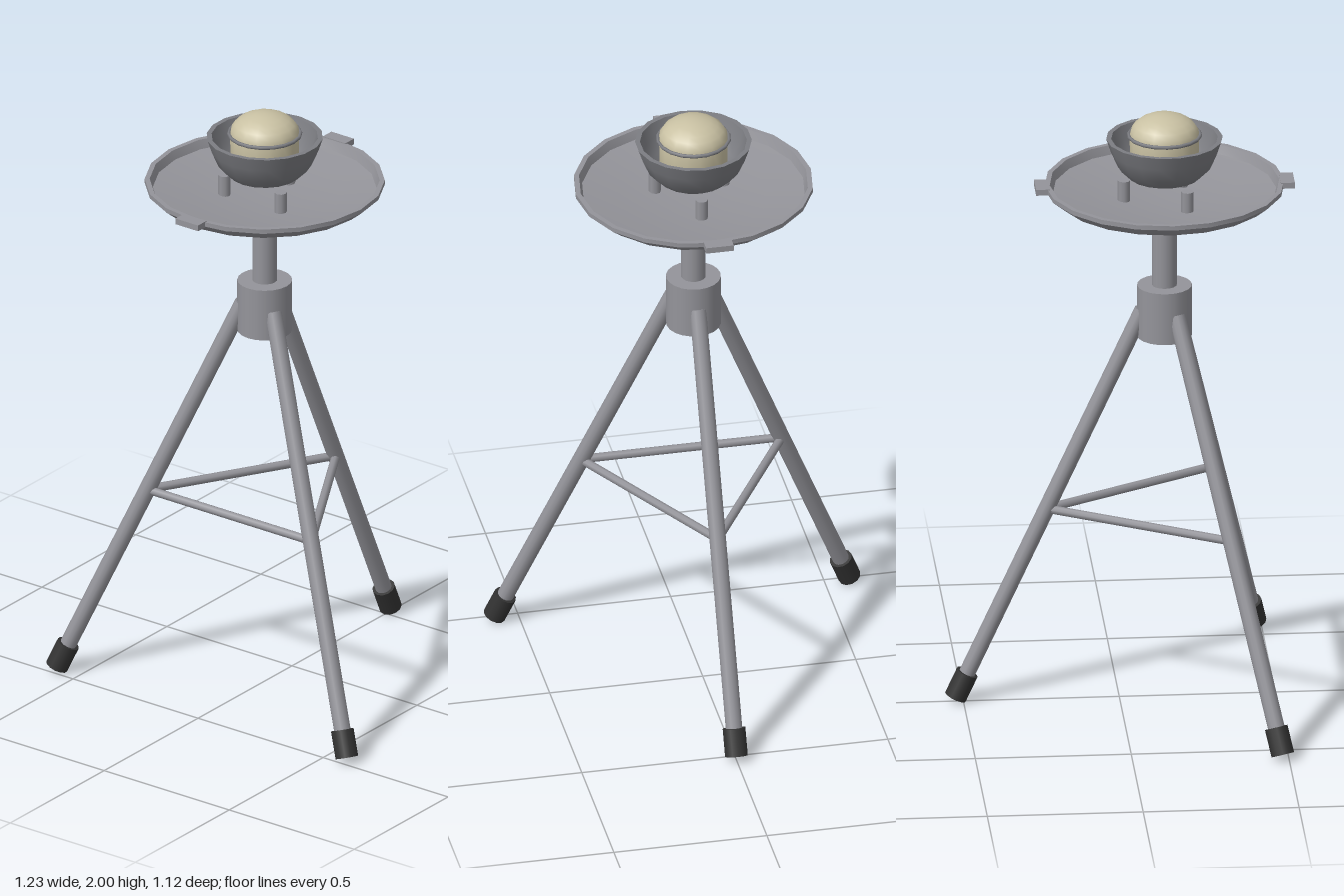
import * as THREE from 'three';
import { toCreasedNormals } from 'three/addons/utils/BufferGeometryUtils.js';

const mat = (color) => new THREE.MeshStandardMaterial({ color });
const steel = mat(0x94949a);
const darkSteel = mat(0x7c7d82);
const rubber = mat(0x333333);
const cream = mat(0xc9c1a3);

function add(parent, name, geometry, material) {
  const mesh = new THREE.Mesh(geometry, material);
  mesh.name = name;
  parent.add(mesh);
  return mesh;
}

// Solid of revolution; profile runs from the bottom centre, outwards and up
function turned(parent, name, profile, sides, material) {
  const points = profile.map(([r, y]) => new THREE.Vector2(r, y));
  return add(parent, name, toCreasedNormals(new THREE.LatheGeometry(points, sides), 0.6), material);
}

// Round bar between two points
function rod(parent, name, a, b, radius, sides, material) {
  const mesh = add(parent, name, new THREE.CylinderGeometry(radius, radius, a.distanceTo(b), sides), material);
  mesh.position.copy(a).add(b).multiplyScalar(0.5);
  mesh.quaternion.setFromUnitVectors(new THREE.Vector3(0, 1, 0), b.clone().sub(a).normalize());
  return mesh;
}

export function createModel() {
  const model = new THREE.Group();
  model.name = 'tripodStand';
  const stand = new THREE.Group();
  stand.name = 'stand';
  stand.position.z = 0.145;
  model.add(stand);

  // Point at a radius and height in the direction of leg i (0 is the rear leg)
  const at = (i, r, y) => {
    const angle = Math.PI + (i * Math.PI * 2) / 3;
    return new THREE.Vector3(r * Math.sin(angle), y, r * Math.cos(angle));
  };

  // Legs with rubber feet, cross braces and the pegs under the bowl
  for (let i = 0; i < 3; i++) {
    const top = at(i, 0.07, 1.33);
    const end = at(i, 0.67, 0.016);
    const up = top.clone().sub(end).normalize();
    rod(stand, 'leg', end.clone().addScaledVector(up, 0.02), top, 0.027, 12, steel);
    rod(stand, 'foot', end, end.clone().addScaledVector(up, 0.09), 0.037, 12, rubber);
    rod(stand, 'crossBrace', at(i, 0.38, 0.655), at(i + 1, 0.38, 0.655), 0.014, 8, steel);
    rod(stand, 'peg', at(i, 0.13, 1.695), at(i, 0.13, 1.777), 0.02, 8, steel);
  }

  // Hub and column
  rod(stand, 'hub', new THREE.Vector3(0, 1.24, 0), new THREE.Vector3(0, 1.415, 0), 0.088, 20, steel);
  rod(stand, 'column', new THREE.Vector3(0, 1.3, 0), new THREE.Vector3(0, 1.7, 0), 0.04, 16, steel);

  // Shallow dish with a raised rim
  turned(stand, 'dish', [
    [0, 1.69], [0.12, 1.694], [0.24, 1.704], [0.345, 1.72], [0.384, 1.752], [0.384, 1.767],
    [0.368, 1.767], [0.358, 1.738], [0.24, 1.718], [0.12, 1.707], [0, 1.703],
  ], 20, steel);

  // Grip tabs at front and rear of the dish
  for (const side of [1, -1]) {
    add(stand, 'tab', new THREE.BoxGeometry(0.09, 0.02, 0.045), steel).position.set(0, 1.76, side * 0.3925);
  }

  // Bowl
  turned(stand, 'bowl', [
    [0, 1.775], [0.09, 1.78], [0.115, 1.79], [0.15, 1.825], [0.172, 1.875], [0.187, 1.92],
    [0.171, 1.92], [0.158, 1.875], [0.136, 1.83], [0.1, 1.795], [0, 1.788],
  ], 18, darkSteel);

  // Domed core with a thin band around it
  const core = [[0, 1.79], [0.095, 1.79], [0.11, 1.83], [0.112, 1.93]];
  for (let k = 1; k <= 6; k++) {
    const t = (k / 6) * Math.PI / 2;
    core.push([k === 6 ? 0 : 0.112 * Math.cos(t), 1.93 + 0.07 * Math.sin(t)]);
  }
  turned(stand, 'core', core, 16, cream);
  const band = add(stand, 'coreBand', new THREE.TorusGeometry(0.115, 0.006, 6, 18), darkSteel);
  band.rotation.x = Math.PI / 2;
  band.position.y = 1.93;

  return model;
}
